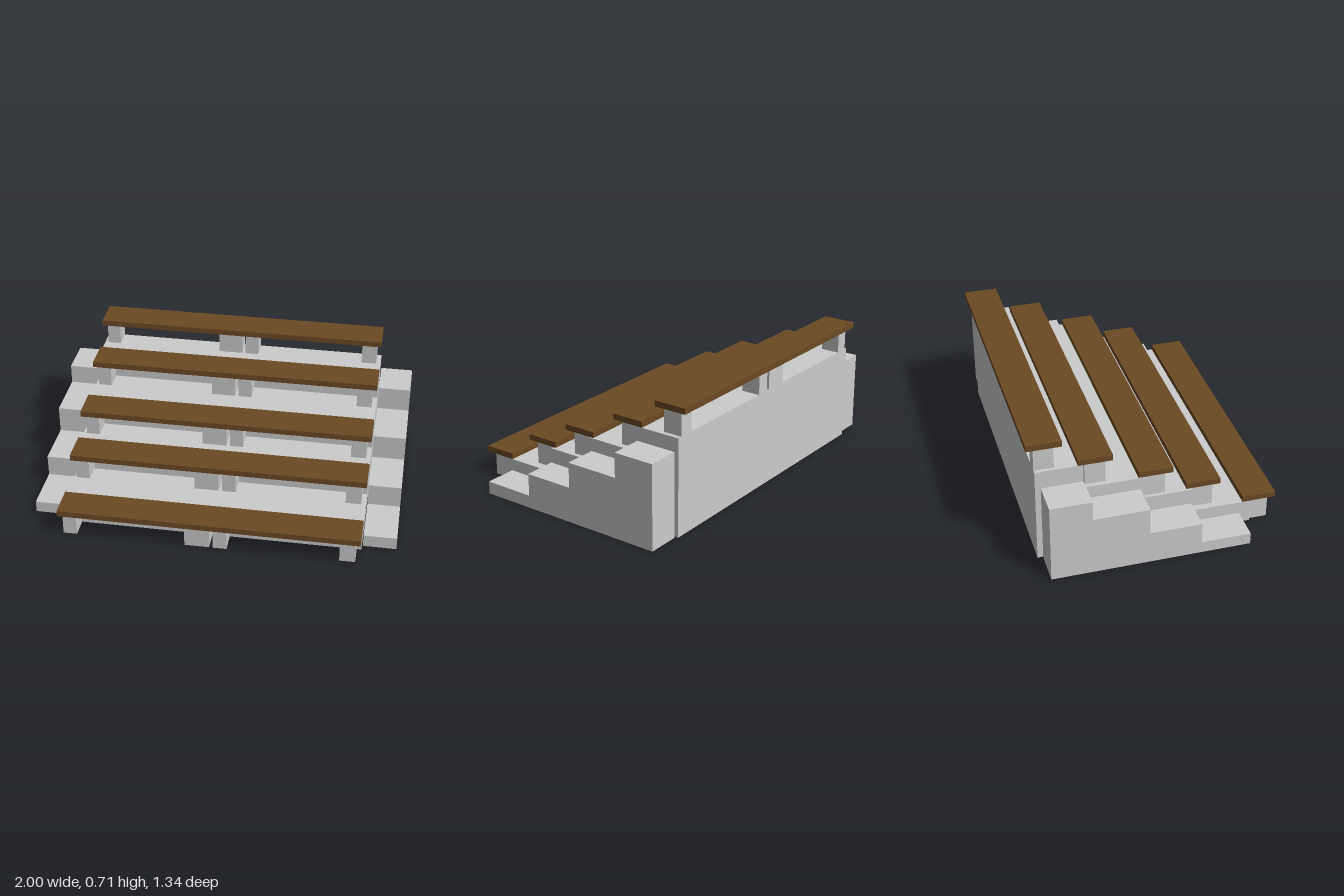
import * as THREE from 'three';

const grey = new THREE.MeshStandardMaterial({ color: 0xcccccc });
const wood = new THREE.MeshStandardMaterial({ color: 0x6b4a24 });

// Solid flight of steps between x0 and x1; each step is [front z, top y]
function steps(name, x0, x1, bottom, back, treads) {
  const shape = new THREE.Shape();
  shape.moveTo(-back, bottom);
  shape.lineTo(-treads[0][0], bottom);
  treads.forEach(([z, y], i) => {
    shape.lineTo(-z, y);
    shape.lineTo(-(i + 1 < treads.length ? treads[i + 1][0] : back), y);
  });
  shape.closePath();
  const geo = new THREE.ExtrudeGeometry(shape, { depth: x1 - x0, bevelEnabled: false });
  geo.rotateY(Math.PI / 2).translate(x0, 0, 0);
  const mesh = new THREE.Mesh(geo, grey);
  mesh.name = name;
  return mesh;
}

// Box given by its limits on each axis
function block(name, material, [x0, x1], [y0, y1], [z0, z1]) {
  const mesh = new THREE.Mesh(new THREE.BoxGeometry(x1 - x0, y1 - y0, z1 - z0), material);
  mesh.name = name;
  mesh.position.set((x0 + x1) / 2, (y0 + y1) / 2, (z0 + z1) / 2);
  return mesh;
}

export function createModel() {
  const model = new THREE.Group();
  model.name = 'steppedBenches';

  // Wide seating terrace with a narrower stair on each side
  model.add(
    steps('terrace', -0.82, 0.815, 0.005, -0.63,
      [[0.53, 0.135], [0.2, 0.275], [-0.055, 0.405], [-0.38, 0.545]]),
    steps('leftStair', 0.82, 1, 0, -0.61,
      [[0.49, 0.07], [0.2, 0.195], [-0.08, 0.335], [-0.38, 0.47]]),
    steps('rightStair', -1, -0.82, 0, -0.6,
      [[0.47, 0.065], [0.2, 0.185], [-0.08, 0.335], [-0.38, 0.445]]),
  );

  // Benches: a plank on four posts, one per level
  const postSpans = [[-0.8, -0.725], [-0.13, 0.005], [0.025, 0.1], [0.705, 0.79]];
  const rows = [
    { plank: [0.487, 0.67], post: [0.525, 0.635], y: [0, 0.135] },
    { plank: [0.17, 0.355], post: [0.205, 0.32], y: [0.15, 0.285] },
    { plank: [-0.09, 0.095], post: [-0.055, 0.058], y: [0.275, 0.408] },
    { plank: [-0.407, -0.225], post: [-0.37, -0.26], y: [0.41, 0.545] },
    { plank: [-0.67, -0.485], post: [-0.63, -0.525], y: [0.545, 0.678] },
  ];
  rows.forEach(({ plank, post, y }, i) => {
    const bench = new THREE.Group();
    bench.name = `bench${i + 1}`;
    bench.add(block('seatPlank', wood, [-0.82, 0.815], [y[1], y[1] + 0.032], plank));
    for (const span of postSpans) bench.add(block('post', grey, span, y, post));
    model.add(bench);
  });
  return model;
}
